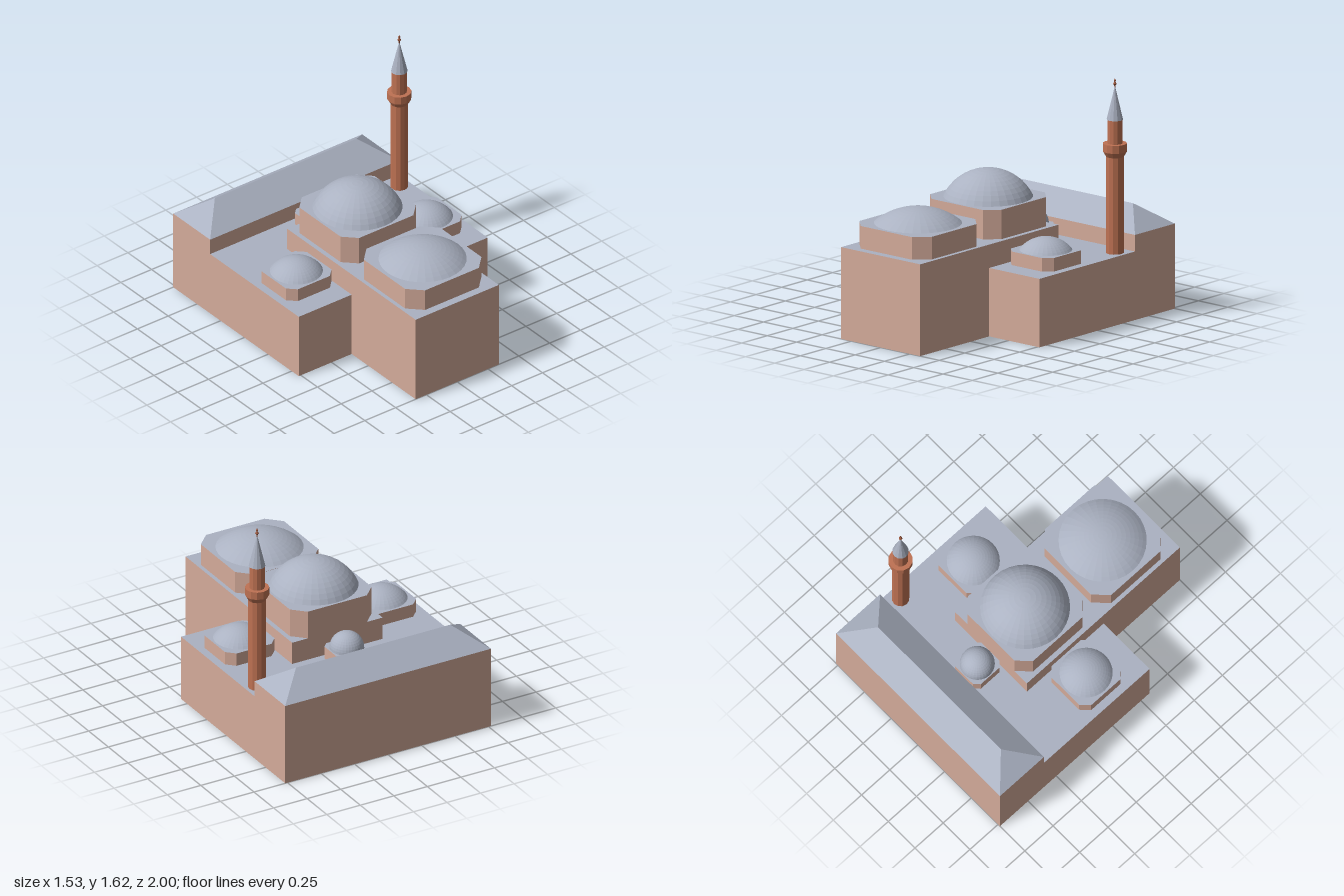
import * as THREE from 'three';
import { ConvexGeometry } from 'three/addons/geometries/ConvexGeometry.js';

export function createModel() {
  const model = new THREE.Group();
  model.name = 'domedBuilding';

  const material = (name, color) => {
    const m = new THREE.MeshStandardMaterial({ color });
    m.name = name;
    return m;
  };
  const wall = material('pinkPlaster', 0xd4ab9a);
  const roof = material('leadGrey', 0xabb2c2);
  const brick = material('terracotta', 0xbf7253);
  const finialMat = material('darkTerracotta', 0x99563c);

  const add = (parent, name, geometry, mat, x = 0, y = 0, z = 0) => {
    const mesh = new THREE.Mesh(geometry, mat);
    mesh.name = name;
    mesh.position.set(x, y, z);
    parent.add(mesh);
    return mesh;
  };

  // Give every facet its own normal
  const faceted = (geometry) => {
    const g = geometry.toNonIndexed();
    g.computeVertexNormals();
    return g;
  };

  // Plaster block with a lead-covered flat top
  const block = (name, width, height, z0, z1) => add(
    model, name, new THREE.BoxGeometry(width, height, z1 - z0),
    [wall, wall, roof, wall, wall, wall], 0, height / 2, (z0 + z1) / 2);

  block('mainHall', 1.534, 0.455, -0.61, 0.325);
  block('nave', 0.675, 0.61, -0.355, 1);
  block('rearHall', 1.534, 0.565, -1, -0.61);

  // Hipped roof over the rear hall
  const hip = [[-0.575, 0.705, -0.81], [0.575, 0.705, -0.81]];
  for (const x of [-0.767, 0.767]) for (const z of [-1, -0.61]) hip.push([x, 0.565, z]);
  add(model, 'rearHipRoof', new ConvexGeometry(hip.map((p) => new THREE.Vector3(...p))), roof);

  // Square drum with cut corners, carrying a spherical cap
  const domeUnit = (name, x, z, base, half, depthHalf, cut, drumH, r, rise) => {
    const unit = new THREE.Group();
    unit.name = name;
    unit.position.set(x, base, z);
    const a = half, b = depthHalf;
    const outline = new THREE.Shape([
      [a, -b + cut], [a, b - cut], [a - cut, b], [-a + cut, b],
      [-a, b - cut], [-a, -b + cut], [-a + cut, -b], [a - cut, -b],
    ].map((p) => new THREE.Vector2(...p)));
    const drum = new THREE.ExtrudeGeometry(outline, { depth: drumH, bevelEnabled: false });
    drum.rotateX(-Math.PI / 2);
    add(unit, 'drum', drum, [roof, wall]);

    const R = (r * r + rise * rise) / (2 * rise);
    const cap = new THREE.SphereGeometry(R, 32, 10, 0, Math.PI * 2, 0, Math.acos((R - rise) / R));
    add(unit, 'dome', faceted(cap), roof, 0, drumH + rise - R, 0);
    model.add(unit);
  };

  domeUnit('centralDome', 0, -0.052, 0.61, 0.305, 0.303, 0.085, 0.195, 0.29, 0.18);
  domeUnit('frontDome', 0, 0.635, 0.61, 0.31, 0.31, 0.092, 0.15, 0.284, 0.1);
  domeUnit('rearDome', 0, -0.475, 0.455, 0.119, 0.117, 0.035, 0.085, 0.113, 0.113);
  for (const side of [-1, 1]) {
    domeUnit(side < 0 ? 'rightDome' : 'leftDome', side * 0.528, -0.011,
      0.455, 0.185, 0.185, 0.055, 0.09, 0.171, 0.083);
  }

  // Minaret: shaft, flared balcony, upper shaft, spire and finial
  const minaret = new THREE.Group();
  minaret.name = 'minaret';
  minaret.position.set(0.687, 0, -0.505);
  model.add(minaret);
  const turned = (name, profile, sides, mat) => add(minaret, name, faceted(
    new THREE.LatheGeometry(profile.map((p) => new THREE.Vector2(...p)), sides)), mat);

  turned('shaftAndBalcony', [
    [0.058, 0.44], [0.058, 1.095], [0.079, 1.13], [0.079, 1.183],
    [0.05, 1.183], [0.05, 1.342],
  ], 12, brick);
  turned('spire', [[0, 1.34], [0.054, 1.34], [0, 1.565]], 12, roof);
  turned('finial', [
    [0.003, 1.55], [0.005, 1.566], [0.012, 1.577], [0.005, 1.589],
    [0.004, 1.592], [0.008, 1.599], [0.003, 1.606], [0, 1.616],
  ], 10, finialMat);

  return model;
}
